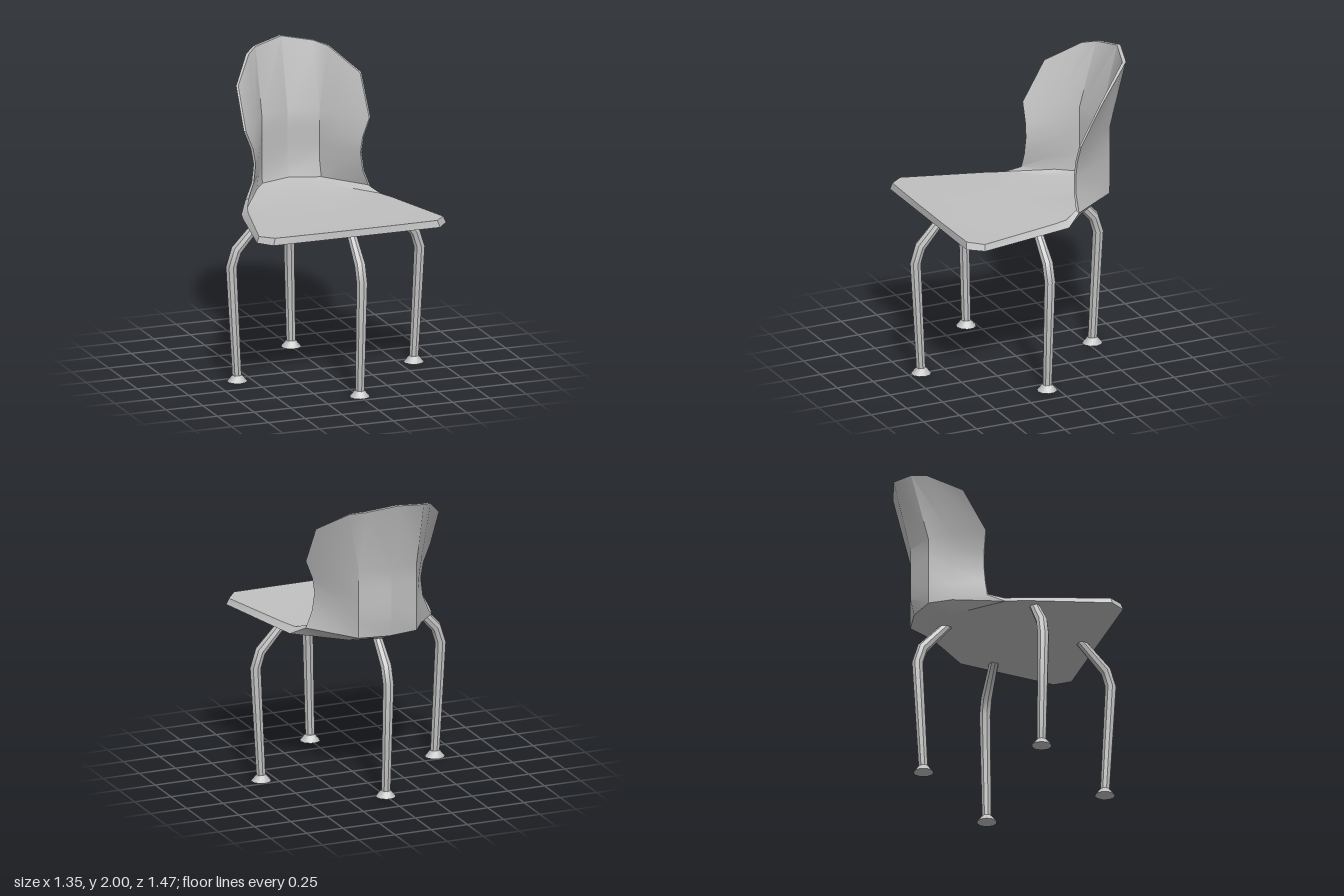
import * as THREE from 'three';
import { toCreasedNormals } from 'three/addons/utils/BufferGeometryUtils.js';

const grey = new THREE.MeshStandardMaterial({ color: 0xc0c0c0 });
grey.name = 'chair grey';

// Each row: centre, crease, edge, optional point between crease and edge
const lowerRows = [
  [[0, 1.04, 0.615], [0.2, 1.04, 0.615], [0.565, 1.04, 0.615]],
  [[0, 1.04, 0.52], [0.2, 1.04, 0.52], [0.642, 1.04, 0.52]],
  [[0, 1.035, -0.02], [0.2, 1.035, -0.02], [0.525, 1.035, -0.02]],
  [[0, 1.03, -0.46], [0.2, 1.03, -0.41], [0.49, 1.03, -0.14]],
  [[0, 1.09, -0.595], [0.2, 1.09, -0.56], [0.425, 1.09, -0.24]],
];
const upperRows = [
  [[0, 1.085, 0.61], [0.2, 1.085, 0.61], [0.55, 1.085, 0.605]],
  [[0, 1.08, 0.52], [0.2, 1.08, 0.52], [0.625, 1.08, 0.515]],
  [[0, 1.075, -0.02], [0.2, 1.075, -0.02], [0.49, 1.072, -0.02]],
  [[0, 1.085, -0.48], [0.2, 1.08, -0.425], [0.452, 1.07, -0.135]],
  [[0, 1.105, -0.572], [0.2, 1.1, -0.52], [0.405, 1.105, -0.228]],
];
const backRows = [
  [[0, 1.2, -0.62], [0.2, 1.2, -0.562], [0.382, 1.2, -0.24]],
  [[0, 1.32, -0.62], [0.2, 1.32, -0.562], [0.367, 1.32, -0.245]],
  [[0, 1.42, -0.62], [0.2, 1.42, -0.562], [0.383, 1.42, -0.248]],
  [[0, 1.54, -0.62], [0.2, 1.54, -0.562], [0.43, 1.54, -0.252]],
  [[0, 2, -0.73], [0.2, 1.965, -0.675], [0.425, 1.8, -0.4], [0.28, 1.94, -0.6]],
];
const inward = [[0, 0, 0.024], [-0.004, 0, 0.024], [-0.012, 0, 0.008], [-0.012, 0, 0.018]];
const innerRows = backRows.map(row => row.map((p, i) => p.map((v, k) => v + inward[i][k])));

// Mirror a half row into seven points from right edge to left edge
function fullRow([c, q, e, m]) {
  const mid = m || q.map((v, k) => v + (e[k] - v) * 0.4);
  const half = [q, mid, e];
  return [...half.map(([x, y, z]) => [-x, y, z]).reverse(), c, ...half];
}

// One continuous seat and back: two sheets joined around the rim
function makeShell() {
  const top = [...upperRows, ...innerRows].map(fullRow);
  const bottom = [...lowerRows, ...backRows].map(fullRow);
  const pos = [];
  const quad = (a, b, c, d) => pos.push(...a, ...b, ...c, ...a, ...c, ...d);
  const last = top.length - 1;
  const rim = [];
  for (let i = 0; i < last; i++) {
    for (let j = 0; j < 6; j++) {
      quad(top[i][j], top[i][j + 1], top[i + 1][j + 1], top[i + 1][j]);
      quad(bottom[i][j], bottom[i + 1][j], bottom[i + 1][j + 1], bottom[i][j + 1]);
    }
  }
  for (let j = 0; j < 6; j++) rim.push([0, j]);
  for (let i = 0; i < last; i++) rim.push([i, 6]);
  for (let j = 6; j > 0; j--) rim.push([last, j]);
  for (let i = last; i > 0; i--) rim.push([i, 0]);
  rim.forEach(([i, j], k) => {
    const [m, n] = rim[(k + 1) % rim.length];
    quad(bottom[i][j], bottom[m][n], top[m][n], top[i][j]);
  });
  const geo = new THREE.BufferGeometry();
  geo.setAttribute('position', new THREE.Float32BufferAttribute(pos, 3));
  return toCreasedNormals(geo, 0.5);
}

// Bent leg, from under the seat to the foot: distance out, height, radius
const legPath = [[0.437, 1.05, 0.03], [0.605, 0.865, 0.037], [0.638, 0.76, 0.037], [0.6, 0.03, 0.031]];
function makeLeg() {
  const spans = legPath.length - 1;
  const geo = new THREE.CylinderGeometry(1, 1, 1, 8, spans);
  const p = geo.attributes.position;
  for (let i = 0; i < p.count; i++) {
    const k = Math.round((0.5 - p.getY(i)) * spans);
    const [x, y, r] = legPath[k];
    const a = legPath[Math.max(k - 1, 0)], b = legPath[Math.min(k + 1, spans)];
    const dx = b[0] - a[0], dy = b[1] - a[1], len = Math.hypot(dx, dy);
    const side = p.getX(i) * r;
    p.setXYZ(i, x - (dy / len) * side, y + (dx / len) * side, p.getZ(i) * r);
  }
  return toCreasedNormals(geo, 0.6);
}

export function createModel() {
  const model = new THREE.Group();
  model.name = 'chair';
  const add = (parent, name, geo) => {
    const mesh = new THREE.Mesh(geo, grey);
    mesh.name = name;
    parent.add(mesh);
    return mesh;
  };
  add(model, 'seatAndBack', makeShell());

  // Four legs in a cross, each with a flared foot
  const legGeo = makeLeg();
  const footGeo = toCreasedNormals(new THREE.CylinderGeometry(0.031, 0.065, 0.042, 10), 0.7);
  ['leftLeg', 'backLeg', 'rightLeg', 'frontLeg'].forEach((name, i) => {
    const leg = new THREE.Group();
    leg.name = name;
    leg.position.z = 0.066;
    leg.rotation.y = i * Math.PI / 2;
    add(leg, 'legTube', legGeo);
    add(leg, 'foot', footGeo).position.set(0.599, 0.021, 0);
    model.add(leg);
  });
  return model;
}
